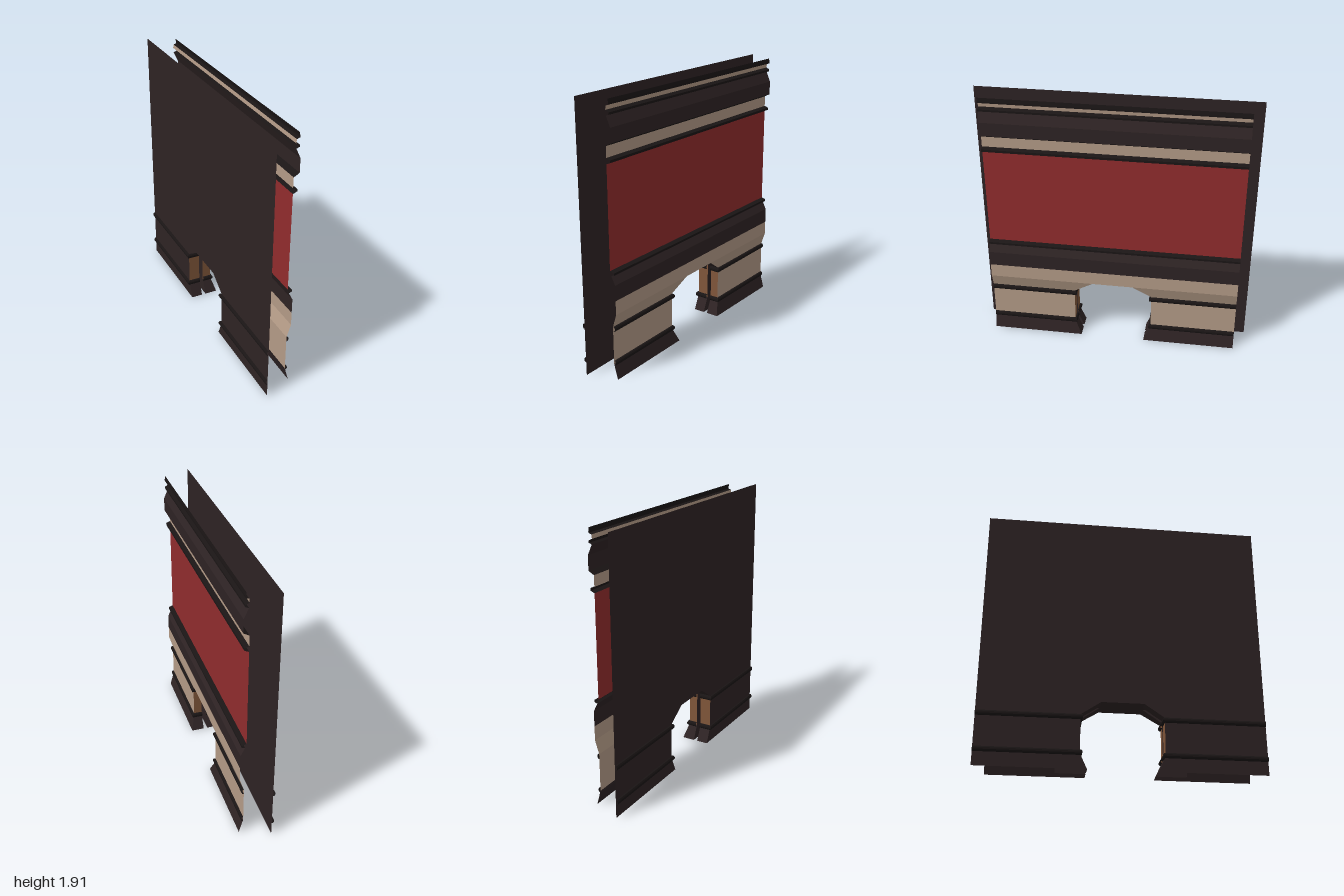
import * as THREE from 'three';

const mat = (name, color) => new THREE.MeshStandardMaterial({ name, color, side: THREE.DoubleSide });

export function createModel() {
  const model = new THREE.Group();
  model.name = 'wallWithDoorway';
  const dark = mat('darkMetal', 0x2e2324);
  const black = mat('blackTrim', 0x1a1515);
  const cream = mat('creamPanel', 0xb49b87);
  const red = mat('redPanel', 0x912c2d);
  const brown = mat('brownJamb', 0x80563a);

  const add = (name, geometry, material) => {
    const mesh = new THREE.Mesh(geometry, material);
    mesh.name = name;
    model.add(mesh);
  };

  // Flat-shaded skin through cross-sections of [x, y, z] points; s = -1 mirrors it in z
  const skin = (name, material, rows, s = 1) => {
    const pos = [];
    const put = (...pts) => pts.forEach(([x, y, z]) => pos.push(x, y, z * s));
    for (let i = 0; i < rows.length - 1; i++) {
      for (let j = 0; j < rows[i].length - 1; j++) {
        const a = rows[i][j], b = rows[i][j + 1], c = rows[i + 1][j + 1], d = rows[i + 1][j];
        if (s > 0) put(a, b, c, a, c, d);
        else put(a, c, b, a, d, c);
      }
    }
    const g = new THREE.BufferGeometry();
    g.setAttribute('position', new THREE.Float32BufferAttribute(pos, 3));
    g.computeVertexNormals();
    add(name, g, material);
  };

  // Flat plate in the z-y plane at a given x
  const plate = (name, material, pts, x) => {
    const shape = new THREE.Shape(pts.map(([z, y]) => new THREE.Vector2(z, y)));
    add(name, new THREE.ShapeGeometry(shape).rotateY(-Math.PI / 2).translate(x, 0, 0), material);
  };

  const END = 0.92, FACE = 0.08, BACK = -0.1, SLOT = 0.015, JAMB = 0.29;
  // Half outline of the doorway as [z, y]
  const door = [[0.24, 0], [JAMB, 0.11], [JAMB, 0.385], [0.15, 0.48]];

  // Plain back sheet with the doorway cut out
  plate('backSheet', dark, [
    [1, 0], [1, 1.91], [-1, 1.91], [-1, 0],
    ...door.map(([z, y]) => [-z, y]),
    ...[...door].reverse(),
  ], BACK);

  // Full-width bands of the decorated face, as [x, y] profiles
  const bands = [
    ['lintelPanel', cream, [[0.11, 0.48], [0.11, 0.58]]],
    ['lowerBand', dark, [[0.11, 0.58], [0.11, 0.69], [0.08, 0.75]]],
    ['lowerTrim', black, [[0.08, 0.75], [0.102, 0.757], [0.102, 0.772], [0.07, 0.782]]],
    ['redPanel', red, [[0.07, 0.782], [0.07, 1.495]]],
    ['middleTrim', black, [[0.07, 1.495], [0.1, 1.507], [0.1, 1.524], [0.07, 1.535]]],
    ['upperPanel', cream, [[0.07, 1.535], [0.07, 1.61]]],
    ['upperBandLip', black, [[0.07, 1.61], [0.11, 1.632]]],
    ['upperBand', dark, [[0.11, 1.632], [0.11, 1.73], [0.078, 1.8]]],
    ['upperTrim', black, [[0.078, 1.8], [0.1, 1.808], [0.1, 1.822], [0.075, 1.835]]],
    ['topPanel', cream, [[0.075, 1.835], [0.078, 1.862]]],
    ['cornice', black, [[0.078, 1.862], [0.1, 1.869], [0.1, 1.88], [0.095, 1.905]]],
  ];
  for (const [name, material, profile] of bands) {
    skin(name, material, profile.map(([x, y]) => [[x, y, END], [x, y, -END]]));
  }

  // Flat soffit over the doorway
  skin('soffit', dark, [0.15, -0.15].map((z) => [[BACK, 0.48, z], [0.11, 0.48, z]]));

  for (const s of [1, -1]) {
    const side = s > 0 ? 'Left' : 'Right';

    // Cream wall beside the door and its outward flare above
    skin('wallPanel' + side, cream, [0.11, 0.385].map((y) => [[FACE, y, END], [FACE, y, JAMB]]), s);
    skin('flarePanel' + side, cream,
      [[[FACE, 0.385, END], [FACE, 0.385, JAMB]], [[0.11, 0.48, END], [0.11, 0.48, 0.15]]], s);

    // Flared skirting, returning into the doorway up to the slot
    skin('frontSkirting' + side, dark, [
      [[0.11, 0, END], [0.11, 0, 0.24], [SLOT, 0, 0.24]],
      [[FACE, 0.11, END], [FACE, 0.11, JAMB], [SLOT, 0.11, JAMB]],
    ], s);
    skin('backSkirting' + side, dark, [
      [[-SLOT, 0, 0.24], [BACK, 0, 0.24]],
      [[-SLOT, 0.11, JAMB], [BACK, 0.11, JAMB]],
    ], s);

    // Brown jambs and chamfered soffit on both sides of the slot
    for (const [part, x0, x1, x2] of [['front', SLOT, FACE, 0.11], ['back', -SLOT, BACK, BACK]]) {
      skin(part + 'Jamb' + side, brown, [0.11, 0.385].map((y) => [[x0, y, JAMB], [x1, y, JAMB]]), s);
      skin(part + 'Chamfer' + side, dark,
        [[[x0, 0.385, JAMB], [x1, 0.385, JAMB]], [[x0, 0.48, 0.15], [x2, 0.48, 0.15]]], s);
    }

    // Door slot: two cheeks, end wall and top
    for (const x of [SLOT, -SLOT]) {
      plate('slotCheek' + side, dark, [...door, [0.45, 0.48], [0.45, 0]].map(([z, y]) => [z * s, y]), x);
    }
    skin('slotEnd' + side, dark, [
      [[-SLOT, 0, 0.45], [SLOT, 0, 0.45]],
      [[-SLOT, 0.48, 0.45], [SLOT, 0.48, 0.45]],
      [[-SLOT, 0.48, 0.15], [SLOT, 0.48, 0.15]],
    ], s);

    // Rails swept along [x, z, outward x, outward z], mitred at the jamb corner
    const paths = {
      frontRail: [[FACE, END, 1, 0], [FACE, JAMB, 1, -1], [SLOT, JAMB, 0, -1]],
      backRail: [[-SLOT, JAMB, 0, -1], [BACK, JAMB, -1, -1], [BACK, 1, -1, 0]],
    };
    const profile = [[0, -0.018], [0.01, -0.016], [0.016, -0.006], [0.016, 0.006], [0.01, 0.016], [0, 0.018]];
    for (const [name, path] of Object.entries(paths)) {
      for (const y of [0.115, 0.367]) {
        skin(name + side, black, profile.map(([o, h]) =>
          path.map(([x, z, dx, dz]) => [x + o * dx, y + h, z + o * dz])), s);
      }
    }
  }
  return model;
}
